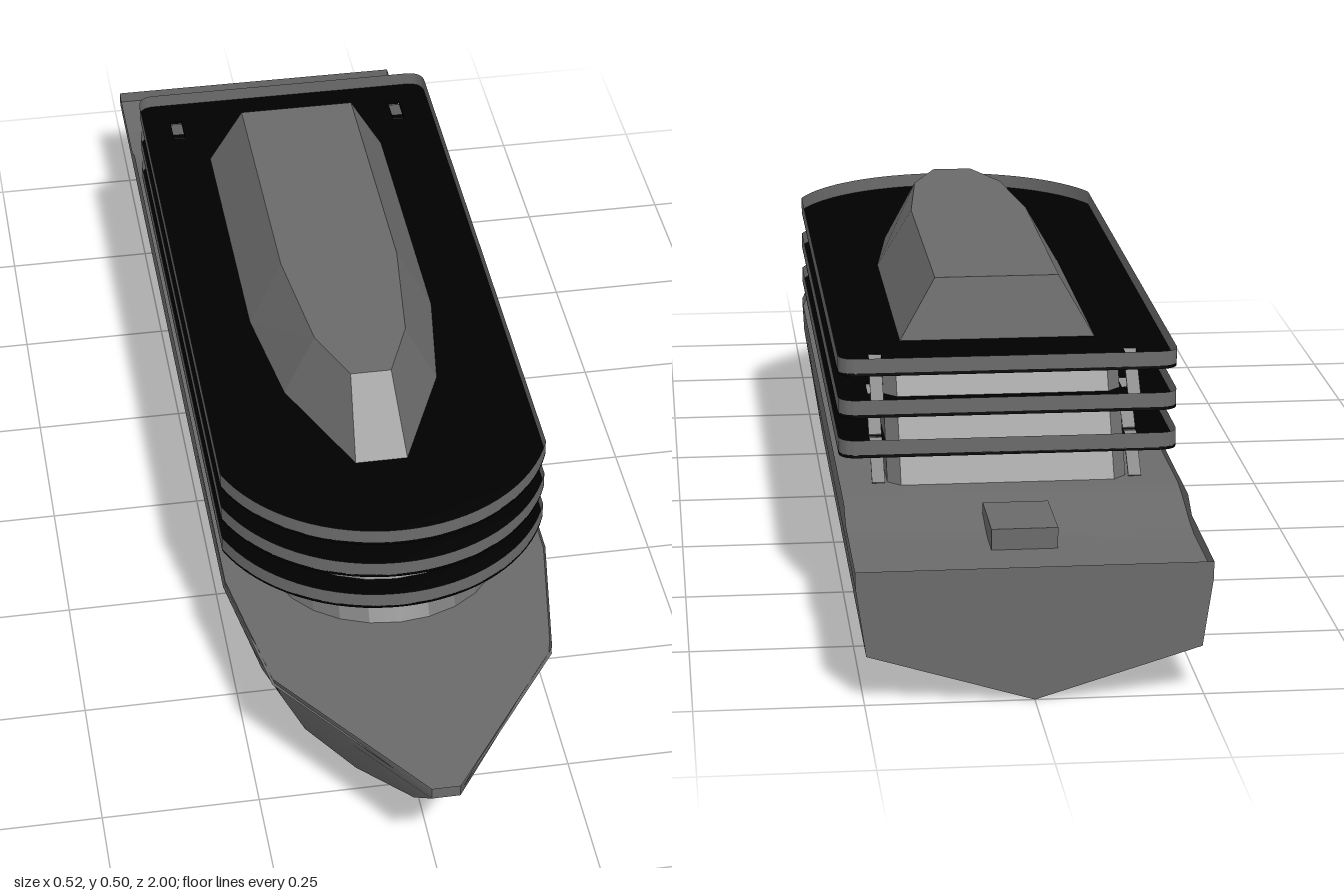
import * as THREE from 'three';
import { toCreasedNormals } from 'three/addons/utils/BufferGeometryUtils.js';
import { ConvexGeometry } from 'three/addons/geometries/ConvexGeometry.js';

const grey = new THREE.MeshStandardMaterial({ color: 0x6a6a6a, side: THREE.DoubleSide });
const black = new THREE.MeshStandardMaterial({ color: 0x000000, side: THREE.DoubleSide });

function add(parent, name, geometry, material = grey) {
  const mesh = new THREE.Mesh(geometry, material);
  mesh.name = name;
  parent.add(mesh);
  return mesh;
}

// Surface through rows of [x, y, z] points, all rows the same length
function skin(rows, crease = 0.3) {
  const pos = [];
  for (let i = 0; i < rows.length - 1; i++) {
    for (let j = 0; j < rows[i].length - 1; j++) {
      const a = rows[i][j], b = rows[i][j + 1], c = rows[i + 1][j + 1], d = rows[i + 1][j];
      pos.push(...a, ...b, ...c, ...a, ...c, ...d);
    }
  }
  const g = new THREE.BufferGeometry();
  g.setAttribute('position', new THREE.Float32BufferAttribute(pos, 3));
  return toCreasedNormals(g, crease);
}

const mirrorX = (pts) => [...pts.map(([x, y, z]) => [-x, y, z]).reverse(), ...pts];

// Half sections of the hull: keel, chine, knuckle, sheer
const aft = (z, top) => [[0, 0, z], [0.247, 0.075, z], [0.262, 0.18, z], [0.262, top, z]];
const stations = [
  aft(-1, 0.205), aft(-0.79, 0.207), aft(-0.75, 0.228), aft(0.1, 0.228),
  [[0, 0, 0.4], [0.241, 0.075, 0.32], [0.261, 0.18, 0.44], [0.262, 0.228, 0.48]],
  [[0, 0, 0.6], [0.212, 0.075, 0.53], [0.236, 0.18, 0.59], [0.242, 0.228, 0.6]],
  [[0, 0, 0.72], [0.165, 0.075, 0.68], [0.207, 0.18, 0.71], [0.222, 0.228, 0.72]],
  [[0, 0.035, 0.79], [0.1, 0.075, 0.78], [0.117, 0.192, 0.85], [0.122, 0.228, 0.86]],
  [[0, 0.075, 0.86], [0.022, 0.075, 0.86], [0.022, 0.208, 1], [0.022, 0.228, 1]],
];

function buildHull(parent) {
  const hull = new THREE.Group();
  hull.name = 'hull';
  add(hull, 'hullShell', skin(stations.map(mirrorX), 0.7));
  // Flat closing faces at the stern and the stem
  const cap = (s) => skin(s.map(([x, y, z]) => [[-x, y, z], [x, y, z]]));
  add(hull, 'transom', cap(stations[0]));
  add(hull, 'stem', cap(stations[stations.length - 1]));
  // Deck just below the rail, stepping down toward the stern
  const deck = [[0.262, 0.185, -1], [0.262, 0.185, -0.81], [0.262, 0.19, -0.77], [0.262, 0.209, -0.69],
    [0.262, 0.215, -0.65], [0.262, 0.215, 0.48], [0.222, 0.215, 0.72], [0.022, 0.215, 0.999]];
  add(hull, 'mainDeck', skin(deck.map(([x, y, z]) => [[-x, y, z], [x, y, z]]), 0.6));
  const hatch = add(hull, 'sternHatch', new THREE.BoxGeometry(0.1, 0.035, 0.13));
  hatch.position.set(0, 0.2, -0.795);
  parent.add(hull);
}

// Plan of an upper deck; shape y becomes -z once laid flat
function deckShape() {
  const w = 0.262, r = 0.03, back = 0.645, start = 0.368;
  const s = new THREE.Shape();
  s.moveTo(w, -0.45);
  s.lineTo(w, back - r);
  s.quadraticCurveTo(w, back, w - r, back);
  s.lineTo(r - w, back);
  s.quadraticCurveTo(-w, back, -w, back - r);
  s.lineTo(-w, -0.45);
  s.absarc(0, -0.349, 0.281, Math.PI + start, Math.PI * 2 - start, false);
  return s;
}

function buildDeck(parent, y, holeZ) {
  const deck = new THREE.Group();
  deck.name = 'upperDeck';
  const shape = deckShape();
  const outline = shape.getPoints(16);
  // Stair openings
  for (const x of [-0.2, 0.2]) {
    const hole = new THREE.Path();
    hole.moveTo(x - 0.01, -holeZ - 0.028);
    hole.lineTo(x - 0.01, -holeZ + 0.028);
    hole.lineTo(x + 0.01, -holeZ + 0.028);
    hole.lineTo(x + 0.01, -holeZ - 0.028);
    hole.closePath();
    shape.holes.push(hole);
  }
  const plate = new THREE.ExtrudeGeometry(shape, { depth: 0.005, bevelEnabled: false, curveSegments: 16 });
  add(deck, 'deckPlate', plate.rotateX(-Math.PI / 2), black);
  // Thin parapet along the edge
  const ring = (h) => [...outline, outline[0]].map((p) => [p.x, h, -p.y]);
  add(deck, 'parapet', skin([ring(0.004), ring(0.028)], 0.3));
  deck.position.y = y;
  parent.add(deck);
}

// Cabin block with rounded front, raked at both ends
function buildCabin(parent) {
  const pts = [];
  for (const [y, front, back] of [[0.205, 0.615, -0.63], [0.399, 0.48, -0.51]]) {
    for (let i = 0; i <= 12; i++) {
      const a = (i / 12) * Math.PI;
      pts.push(new THREE.Vector3(0.186 * Math.cos(a), y, front - 0.17 + 0.17 * Math.sin(a)));
    }
    for (const s of [-1, 1]) {
      pts.push(new THREE.Vector3(s * 0.186, y, back + 0.02), new THREE.Vector3(s * 0.166, y, back));
    }
  }
  add(parent, 'cabin', toCreasedNormals(new ConvexGeometry(pts), 0.2));
}

// Faceted roof house on the top deck
function buildRoof(parent) {
  const base = [[0.155, -0.462], [0.155, 0.03], [0.127, 0.23], [0.042, 0.43]];
  const top = [[0.098, -0.452], [0.098, 0.01], [0.075, 0.22], [0.033, 0.325]];
  const pts = [];
  for (const [ring, y] of [[base, 0.401], [top, 0.501]]) {
    for (const [x, z] of ring) pts.push(new THREE.Vector3(x, y, z), new THREE.Vector3(-x, y, z));
  }
  add(parent, 'roofHouse', new ConvexGeometry(pts));
}

// Sloping side stairs, rising forward
function buildStairs(parent, y0, z0, y1, z1) {
  for (const x of [-0.2, 0.2]) {
    const stair = add(parent, 'stair', new THREE.BoxGeometry(0.02, 0.004, Math.hypot(y1 - y0, z1 - z0)));
    stair.position.set(x, (y0 + y1) / 2, (z0 + z1) / 2);
    stair.rotation.x = -Math.atan2(y1 - y0, z1 - z0);
  }
}

export function createModel() {
  const ship = new THREE.Group();
  ship.name = 'ship';
  buildHull(ship);
  buildCabin(ship);
  buildDeck(ship, 0.267, -0.56);
  buildDeck(ship, 0.331, -0.5);
  buildDeck(ship, 0.397, -0.562);
  buildStairs(ship, 0.215, -0.61, 0.27, -0.55);
  buildStairs(ship, 0.272, -0.54, 0.335, -0.475);
  buildStairs(ship, 0.337, -0.6, 0.4, -0.535);
  buildRoof(ship);
  return ship;
}
